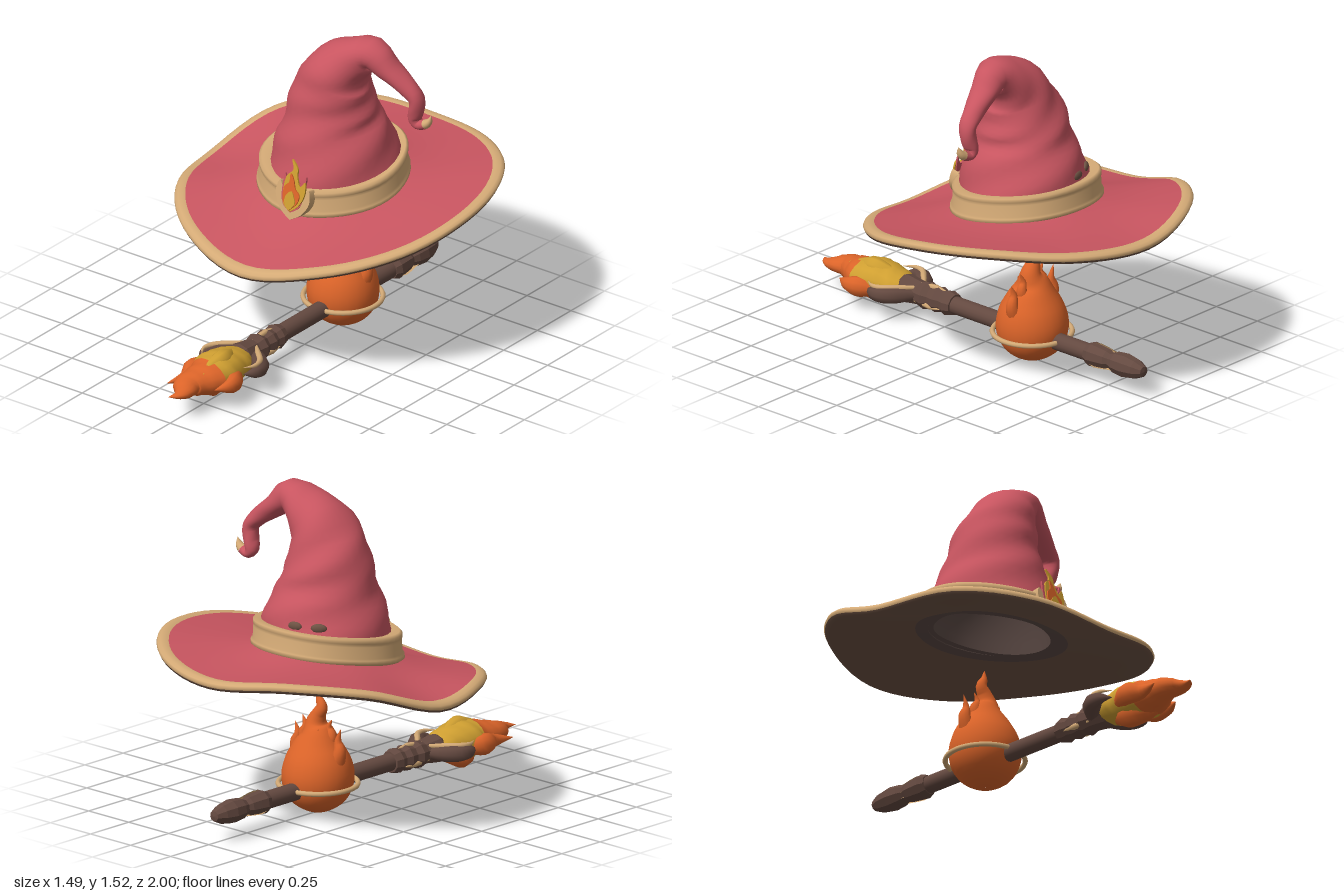
import * as THREE from 'three';

const V = (x, y, z) => new THREE.Vector3(x, y, z);
const paint = (name, color) => {
  const m = new THREE.MeshStandardMaterial({ color });
  m.name = name;
  return m;
};

// Skin a stack of closed rings of equal length into one smooth surface
function skin(rings) {
  const n = rings[0].length, pos = [], idx = [];
  rings.forEach(r => r.forEach(p => pos.push(p.x, p.y, p.z)));
  for (let i = 0; i < rings.length - 1; i++) for (let j = 0; j < n; j++) {
    const a = i * n + j, b = i * n + (j + 1) % n;
    idx.push(a, a + n, b, b, a + n, b + n);
  }
  const g = new THREE.BufferGeometry();
  g.setAttribute('position', new THREE.Float32BufferAttribute(pos, 3));
  g.setIndex(idx);
  g.computeVertexNormals();
  return g;
}

// Rings along a path bending in the xy plane; station = [x, y, z, width, depth, tilt]
function sweepRings(stations, sides = 14, per = 3, wrinkle = 0, from = 0, to = 1) {
  const path = new THREE.CatmullRomCurve3(stations.map(s => V(s[0], s[1], s[2])), false, 'catmullrom');
  const size = new THREE.CatmullRomCurve3(stations.map(s => V(s[3], s[4], s[5] || 0)), false, 'catmullrom');
  const steps = Math.max(2, Math.round((stations.length - 1) * per * (to - from)));
  return Array.from({ length: steps + 1 }, (_, i) => {
    const u = from + (to - from) * i / steps;
    const c = path.getPoint(u), s = size.getPoint(u), t = path.getTangent(u);
    const l = Math.hypot(t.x, t.y) || 1, nx = t.y / l, ny = -t.x / l;
    return Array.from({ length: sides }, (_, j) => {
      const q = j / sides * Math.PI * 2;
      const w = 1 + wrinkle * Math.sin(2 * q + u * 37) * Math.cos(q + u * 23);
      const a = Math.max(s.x, 0.001) * w * Math.cos(q), b = Math.max(s.y, 0.001) * w * Math.sin(q);
      return V(c.x + nx * a, c.y + ny * a - b * s.z, c.z + b);
    });
  });
}

export function createModel() {
  const red = paint('hat red', 0xc85560), cream = paint('cream trim', 0xd4aa76);
  const lining = paint('brown lining', 0x6e5344), inner = paint('inner lining', 0x5c4a45);
  const wood = paint('staff wood', 0x644940);
  const orange = paint('flame orange', 0xdc6429), yellow = paint('flame yellow', 0xcf9f31);
  const model = new THREE.Group();
  const add = (name, geo, mat, parent = model) => {
    const m = new THREE.Mesh(geo, mat);
    m.name = name;
    parent.add(m);
    return m;
  };
  const group = (name, parent = model) => {
    const g = new THREE.Group();
    g.name = name;
    parent.add(g);
    return g;
  };

  // ---- Hat ----
  const hat = group('hat');
  // Wavy brim: edge height every 30 degrees, starting at +x and turning to the front
  const edge = [.77, .69, .612, .545, .602, .645, .637, .755, .79, .755, .775, .8];
  const edgeCurve = new THREE.CatmullRomCurve3(edge.map((h, i) => V(i, h, 0)), true, 'catmullrom');
  const N = 72;
  const brimRing = (r, dy) => Array.from({ length: N }, (_, j) => {
    const q = j / N * Math.PI * 2, t = (r - .31) / .435;
    const root = .755 - .16 * .32 * Math.sin(q);
    const y = THREE.MathUtils.lerp(root, edgeCurve.getPoint(j / N).y, t);
    return V(-.01 * (1 - t) + r * Math.cos(q), y + dy, -.235 - .025 * t + r * Math.sin(q));
  });
  const brim = list => skin(list.map(([r, dy]) => brimRing(r, dy)));
  add('brimTop', brim([[.695, .016], [.6, .006], [.5, 0], [.4, 0], [.31, .01]]), red, hat);
  add('brimEdge', brim([[.743, -.006], [.747, .004], [.743, .014], [.73, .021], [.708, .021], [.69, .014]]), cream, hat);
  add('brimUnderside', brim([[.345, -.012], [.4, -.016], [.5, -.018], [.6, -.018], [.7, -.018], [.722, -.024],
    [.737, -.018], [.743, -.006]]), lining, hat);
  add('brimInnerLining', brim([[.265, -.01], [.345, -.012]]), inner, hat);

  // Crown: tapering, folding over at the peak and curling at the tail
  const crown = [
    [-.01, .755, -.235, .315, .315, .16], [-.01, .88, -.235, .293, .297, .14], [-.01, 1, -.225, .257, .262, .1],
    [-.01, 1.09, -.22, .215, .224, .05], [-.002, 1.17, -.22, .203, .203, 0], [.018, 1.25, -.21, .174, .178, 0],
    [.05, 1.33, -.21, .142, .16, 0], [.12, 1.4, -.225, .1, .122, 0], [.21, 1.445, -.235, .075, .085, 0],
    [.29, 1.385, -.25, .054, .066, 0], [.375, 1.32, -.265, .042, .05, 0], [.425, 1.265, -.275, .036, .042, 0],
    [.42, 1.2, -.28, .034, .04, 0], [.408, 1.16, -.285, .03, .036, 0], [.43, 1.133, -.288, .023, .03, 0],
    [.467, 1.145, -.288, .022, .026, 0], [.488, 1.165, -.288, .015, .018, 0], [.499, 1.195, -.288, .001, .001, 0]];
  const split = 15 / 17;
  add('crown', skin(sweepRings(crown, 28, 3, .045, 0, split)), red, hat);
  add('tailTip', skin(sweepRings(crown, 14, 3, 0, split, 1)), cream, hat);
  // Inside of the crown, facing inward
  const inside = crown.slice(0, 7).map(([x, y, z, a, b, s]) => [x, y - .008, z, a * .92, b * .92, s]);
  inside.push([.06, 1.34, -.21, .001, .001, 0]);
  add('crownLining', skin(sweepRings(inside, 28, 2).reverse()), inner, hat);
  // Dark tears at the back, just above the band
  for (const q of [4.1, 4.52]) {
    const tear = add('crownTear', new THREE.SphereGeometry(1, 10, 8), lining, hat);
    tear.position.set(-.01 + .277 * Math.cos(q), .94, -.23 + .277 * Math.sin(q));
    tear.scale.set(.038, .022, .014);
    tear.rotation.y = Math.PI / 2 - q;
  }

  // Rolled hat band, tilted with the crown
  const bandRing = ([r, h]) => Array.from({ length: 48 }, (_, j) => {
    const q = j / 48 * Math.PI * 2, k = r + .003 * Math.sin(5 * q);
    return V(-.015 + k * Math.cos(q), .758 + h - .15 * k * Math.sin(q), -.235 + k * Math.sin(q));
  });
  add('hatBand', skin([[.3, 0], [.335, -.005], [.349, .006], [.348, .022], [.339, .03], [.336, .085], [.33, .092],
    [.338, .1], [.338, .118], [.325, .128], [.27, .115]].map(bandRing)), cream, hat);

  // Flame badge on the front of the band
  const badge = group('flameBadge', hat);
  badge.position.set(.02, .8, .107);
  badge.rotation.x = -.2;
  const plate = (name, pts, mat, z, depth) => {
    const s = new THREE.Shape();
    s.moveTo(...pts[0]);
    s.splineThru(pts.slice(1).concat([pts[0]]).map(p => new THREE.Vector2(...p)));
    const g = new THREE.ExtrudeGeometry(s, { depth, bevelEnabled: false, curveSegments: 24 });
    g.translate(0, 0, z);
    return add(name, g, mat, badge);
  };
  plate('badgeShield', [[0, -.11], [.06, -.07], [.095, -.01], [.085, .05], [.05, .03], [0, .04], [-.05, .03],
    [-.08, .06], [-.095, 0], [-.06, -.07]], cream, -.03, .04);
  plate('badgeBacking', [[0, -.075], [.045, -.04], [.062, .02], [.065, .11], [.04, .07], [0, .09], [-.035, .07],
    [-.055, .1], [-.06, .01], [-.045, -.045]], red, .004, .009);
  plate('badgeYellowFlame', [[0, -.07], [.045, -.03], [.07, .03], [.065, .085], [.04, .06], [.02, .1], [.015, .14],
    [-.02, .175], [-.008, .13], [-.04, .09], [-.05, .02], [-.04, -.04]], yellow, .01, .009);
  plate('badgeOrangeFlame', [[0, -.062], [.038, -.02], [.045, .02], [.02, .045], [.005, .085], [-.015, .11],
    [-.018, .07], [-.042, .04], [-.042, -.02]], orange, .017, .008);
  plate('badgeFlameHeart', [[0, -.062], [.028, -.025], [.02, .005], [.002, .03], [-.024, .005], [-.028, -.03]],
    yellow, .02, .009);

  // ---- Fireball ----
  const fire = group('fireball');
  fire.position.z = -.285;
  add('fireBody', skin(sweepRings([[0, .004, 0, .001, .001], [0, .012, 0, .05, .05], [0, .05, 0, .115, .115],
    [0, .11, 0, .155, .155], [0, .18, 0, .166, .166], [0, .25, 0, .154, .15], [0, .31, 0, .125, .118],
    [0, .37, 0, .085, .08], [.01, .42, 0, .052, .05], [-.005, .465, 0, .034, .034], [-.025, .5, 0, .027, .025],
    [-.008, .54, 0, .018, .014], [-.005, .585, 0, .001, .001]], 24, 3)), orange, fire);
  // Flame tongues: foot, bend, neck and tip as x, y pairs, then width and z
  [[-.11, .24, -.135, .31, -.125, .36, -.142, .42, .04, 0], [.11, .24, .135, .3, .125, .35, .143, .4, .04, 0],
    [-.06, .31, -.075, .37, -.06, .41, -.08, .45, .035, .01], [.06, .31, .08, .36, .07, .4, .09, .445, .035, -.01],
    [.03, .27, .045, .33, .03, .37, .045, .41, .035, .065], [-.03, .27, -.045, .33, -.03, .37, -.045, .41, .035, -.065]
  ].forEach(([a, b, c, d, e, f, g, h, w, z]) => add('flameTongue', skin(sweepRings([[a, b, z, w, w],
    [c, d, z * .9, w * .75, w * .75], [e, f, z * .8, w * .42, w * .42], [g, h, z * .7, .001, .001]], 10, 4)), orange, fire));
  const ring = add('fireRing', new THREE.TorusGeometry(.181, .012, 8, 48), cream, fire);
  ring.rotation.x = Math.PI / 2;
  ring.position.y = .138;

  // ---- Staff: built upright, then laid along z ----
  const staff = group('staff');
  staff.rotation.x = Math.PI / 2;
  staff.position.y = .13;
  const carved = (name, pts, sides) => {
    const g = new THREE.LatheGeometry(pts.map(p => new THREE.Vector2(...p)), sides).toNonIndexed();
    g.computeVertexNormals();
    return add(name, g, wood, staff);
  };
  const shaft = add('shaft', new THREE.CylinderGeometry(.041, .041, .92, 16), wood, staff);
  shaft.position.y = -.2;
  carved('rearPommel', [[0, -.97], [.025, -.965], [.046, -.92], [.056, -.86], [.05, -.8], [.038, -.77], [.048, -.75],
    [.054, -.7], [.058, -.66], [.046, -.63], [0, -.63]], 9);
  carved('frontGrip', [[0, .18], [.05, .185], [.06, .22], [.05, .25], [.062, .28], [.052, .32], [.066, .35],
    [.055, .39], [.06, .43], [.068, .48], [.045, .53], [0, .54]], 10);
  // Pale wedges inlaid around the pommel and the grip: end, far end, radius, width
  for (const [name, y0, y1, r, w] of [['pommelInlay', -.64, -.84, .045, .018], ['gripInlay', .24, .44, .052, .014]])
    for (let i = 0; i < 3; i++) {
      const q = i / 3 * Math.PI * 2 + Math.PI / 2, s = Math.sin(q), c = Math.cos(q);
      add(name, skin(sweepRings([0, .3, .7, 1].map((t, k) => {
        const d = r - (k === 2 ? .006 : 0), size = [.001, w, w * .7, .001][k];
        return [c * d, y0 + (y1 - y0) * t, -s * d, size, size];
      }), 6, 2).slice().sort((a, b) => a[0].y - b[0].y)), cream, staff);
    }
  // Claws holding the flame, with pale upper ridges
  for (const m of [-1, 1]) {
    const claw = (w, z) => skin(sweepRings([[m * .03, .4, z, w * .5, w * .6], [m * .085, .455, z, w, w],
      [m * .132, .505, z, w, w], [m * .146, .56, z, w * .6, w * .7], [m * .118, .61, z, .001, .001]], 8, 3));
    add('claw', claw(.041, 0), wood, staff);
    add('clawRidge', claw(.014, -.034), cream, staff);
  }

  // Flame head: yellow root, orange tip and curling side tongues
  const head = [[0, .44, 0, .03, .03], [0, .5, 0, .085, .06], [0, .57, 0, .1, .08], [.005, .65, -.005, .115, .088],
    [.005, .72, -.005, .11, .08], [-.01, .79, 0, .08, .065], [-.015, .85, 0, .065, .05], [.008, .9, 0, .05, .035],
    [.012, .95, 0, .028, .018], [-.012, .995, 0, .001, .001]];
  add('flameRoot', skin(sweepRings(head, 16, 3, .05, 0, 4 / 9)), yellow, staff);
  add('flameTip', skin(sweepRings(head, 16, 3, .05, 4 / 9, 1)), orange, staff);
  const lick = (name, pts, w, mat) => add(name, skin(sweepRings(pts.map(([x, y, z], i) =>
    [x, y, z, w * [.5, 1, .7, .03][i], w * [.7, 1.2, .8, .03][i]]), 10, 4)), mat, staff);
  lick('sideLick', [[.08, .6, .015], [.112, .67, .012], [.125, .73, .01], [.1, .8, .01]], .04, orange);
  lick('sideLick', [[-.07, .6, .01], [-.105, .69, .005], [-.085, .77, .01], [-.115, .87, .01]], .042, orange);
  lick('underLick', [[0, .54, .04], [-.02, .63, .055], [.02, .72, .05], [.03, .8, .035]], .055, orange);
  lick('topLick', [[0, .54, -.04], [.025, .64, -.055], [.02, .72, -.052], [.035, .8, -.05]], .045, yellow);

  return model;
}
